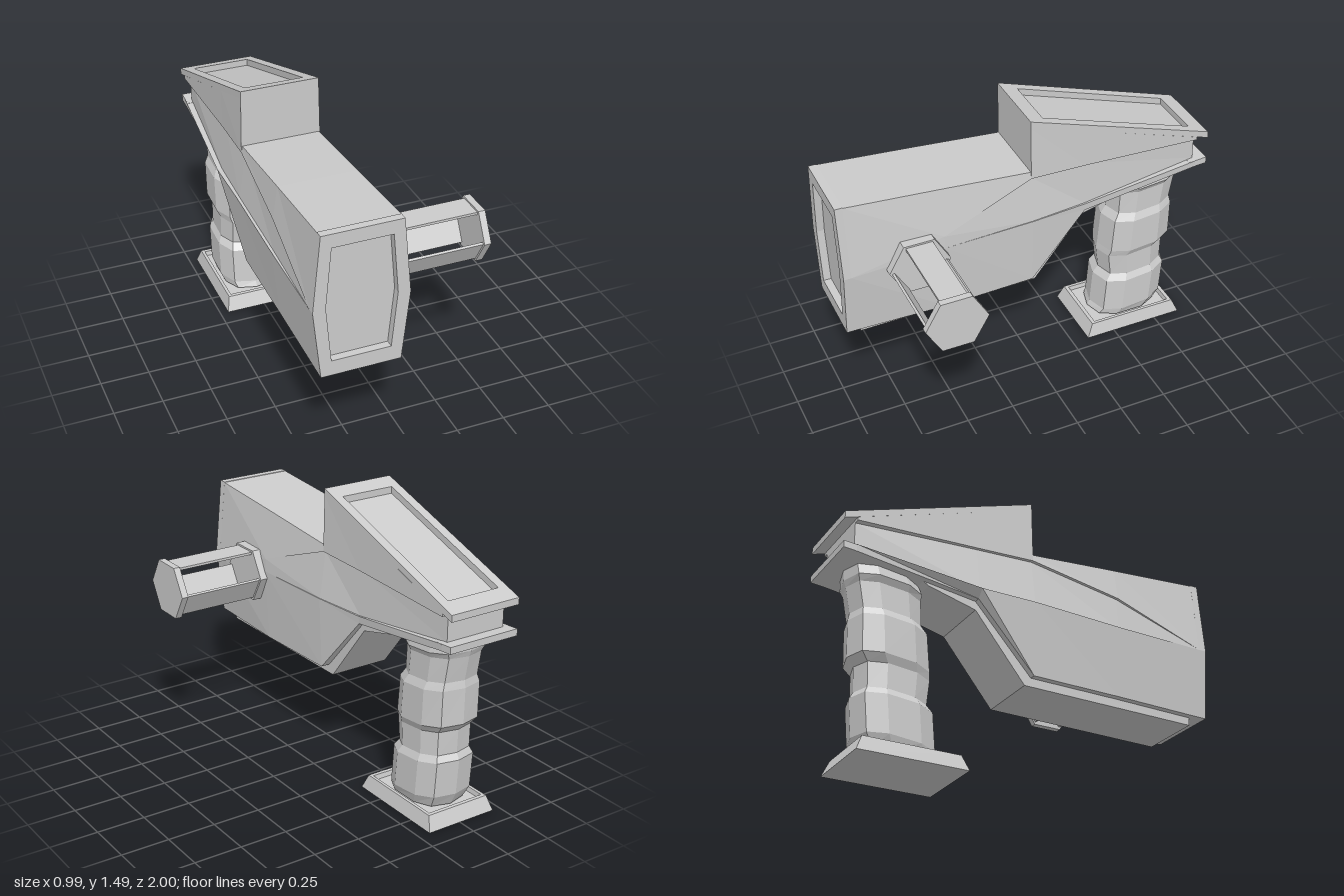
import * as THREE from 'three';

const grey = new THREE.MeshStandardMaterial({ color: 0xcccccc, flatShading: true, side: THREE.DoubleSide });

function add(parent, name, geometry) {
  const mesh = new THREE.Mesh(geometry, grey);
  mesh.name = name;
  parent.add(mesh);
  return mesh;
}

// Skin matching rings of [x, y, z] points and close both ends
function loft(rings) {
  const n = rings[0].length, last = (rings.length - 1) * n, index = [];
  for (let r = 0; r < last; r += n) {
    for (let j = 0; j < n; j++) {
      const k = (j + 1) % n;
      index.push(r + j, r + k, r + n + k, r + j, r + n + k, r + n + j);
    }
  }
  for (let j = 0; j < n / 2 - 1; j++) {
    const [a, b, c, d] = [j, j + 1, n - 2 - j, n - 1 - j];
    index.push(a, c, b, a, d, c);
    index.push(last + a, last + b, last + c, last + a, last + c, last + d);
  }
  const g = new THREE.BufferGeometry();
  g.setAttribute('position', new THREE.Float32BufferAttribute(rings.flat(2), 3));
  g.setIndex(index);
  const flat = g.toNonIndexed();
  flat.computeVertexNormals();
  return flat;
}

function extrude(points, depth, hole) {
  const toVec = (p) => new THREE.Vector2(p[0], p[1]);
  const shape = new THREE.Shape(points.map(toVec));
  if (hole) shape.holes.push(new THREE.Path(hole.map(toVec)));
  return new THREE.ExtrudeGeometry(shape, { depth, bevelEnabled: false });
}

const rect = (w, y0, y1) => [[-w, y0], [w, y0], [w, y1], [-w, y1]];
const hexagon = (w, wMid, y0, yMid, y1) =>
  [[-w, y0], [w, y0], [wMid, yMid], [w, y1], [-w, y1], [-wMid, yMid]];

// Body section: side points run bottom, crease, recess bottom, recess top, lip, top
function bodySection(z, right, left) {
  return [
    ...right.map(([x, y]) => [x, y, z]),
    ...[...left].reverse().map(([x, y]) => [-x, y, z]),
  ];
}

function buildBody(group) {
  const tail = [[0.197, 0.965], [0.199, 1.0], [0.165, 1.0], [0.165, 1.13], [0.197, 1.13], [0.197, 1.146]];
  const rearR = [[0.197, 0.88], [0.2, 0.92], [0.19, 0.92], [0.18, 1.155], [0.197, 1.155], [0.197, 1.356]];
  const rearL = [[0.197, 0.88], [0.235, 0.92], [0.21, 0.92], [0.18, 1.155], [0.197, 1.155], [0.197, 1.356]];
  const midR = [[0.212, 0.545], [0.226, 0.92], [0.222, 0.92], [0.19, 1.165], [0.203, 1.165]];
  const midL = [[0.197, 0.545], [0.235, 0.92], [0.22, 0.92], [0.185, 1.165], [0.203, 1.165]];
  const foreR = [[0.222, 0.54], [0.243, 0.92], [0.243, 0.92], [0.241, 0.99], [0.241, 0.99], [0.197, 1.24]];
  const foreL = [[0.197, 0.54], [0.236, 0.9], [0.222, 0.9], [0.207, 1.07], [0.222, 1.07], [0.197, 1.24]];
  const m = [0.235, 0.89];
  const nose = [[0.197, 0.53], m, m, m, m, [0.197, 1.277]];
  const high = [0.197, 1.455], low = [0.197, 1.2];
  add(group, 'body', loft([
    bodySection(-0.935, tail, tail),
    bodySection(-0.3, rearR, rearL),
    bodySection(0, [...midR, high], [...midL, high]),
    bodySection(0, [...midR, low], [...midL, low]),
    bodySection(0.48, foreR, foreL),
    bodySection(0.96, nose, nose),
  ]));

  // Raised rim around the sunken front panel
  const front = extrude(hexagon(0.197, 0.235, 0.53, 0.89, 1.28), 0.04, hexagon(0.146, 0.173, 0.61, 0.9, 1.21));
  add(group, 'frontRim', front).position.z = 0.96;

  // Sloping rim of the top cover, sheared to follow the slope
  const cover = extrude(rect(0.197, 0, 1), 0.035, rect(0.147, 0.085, 0.91)).rotateX(-Math.PI / 2);
  const p = cover.attributes.position;
  for (let i = 0; i < p.count; i++) p.setY(i, p.getY(i) + 1.455 + 0.33 * p.getZ(i));
  cover.computeVertexNormals();
  add(group, 'topCoverRim', cover);

  // Lower ledge at the rear
  const ledge = (z, y) => rect(0.197, y, y + 0.035).map(([x, h]) => [x, h, z]);
  add(group, 'rearLedge', loft([ledge(-1, 0.97), ledge(-0.9, 0.962)]));

  // Belly plate, drawn as (-z, y) and turned across the body
  const belly = extrude([
    [-0.92, 0.55], [-0.92, 0.49], [0.035, 0.5], [0.3, 0.835],
    [0.55, 0.9], [0.6, 0.93], [0.3, 0.9], [0, 0.56],
  ], 0.33);
  belly.translate(0, 0, -0.165).rotateY(Math.PI / 2);
  add(group, 'bellyPlate', belly);
}

function buildGrip(group) {
  const outline = [[0, 1], [0.7, 0.85], [1, 0.4], [1, -0.4], [0.7, -0.85],
    [0, -1], [-0.7, -0.85], [-1, -0.4], [-1, 0.4], [-0.7, 0.85]];
  // Each ring: height, centre z, half depth, half width
  const rings = [
    [0.06, -0.62, 0.19, 0.14], [0.11, -0.645, 0.2, 0.158], [0.3, -0.66, 0.2, 0.158],
    [0.335, -0.665, 0.175, 0.14], [0.46, -0.66, 0.185, 0.14], [0.5, -0.68, 0.2, 0.158],
    [0.69, -0.69, 0.193, 0.158], [0.73, -0.7, 0.175, 0.14], [0.86, -0.715, 0.185, 0.14],
    [0.89, -0.72, 0.192, 0.158], [0.95, -0.735, 0.18, 0.145],
  ];
  add(group, 'grip', loft(rings.map(([y, zc, d, w], i) =>
    outline.map(([x, z]) => [x * w, y - (i ? 0.1 * z * d : 0), zc + z * d]))));

  // Foot with a shallow tray in its top
  const tray = [[0, 0.197, 0.278], [0.075, 0.178, 0.245], [0.075, 0.162, 0.225], [0.05, 0.158, 0.22]];
  add(group, 'gripFoot', loft(tray.map(([y, w, d]) =>
    [[-w, d], [w, d], [w, -d], [-w, -d]].map(([x, z]) => [x, y, z - 0.62]))));
}

function buildSideHandle(group) {
  const handle = new THREE.Group();
  handle.name = 'sideHandle';
  handle.position.set(0.26, 0.884, 0.625);
  group.add(handle);
  // Hexagonal end plates with a corner facing forward
  for (const [name, x0, x1] of [['handleInnerPlate', -0.03, 0.02], ['handleOuterPlate', 0.455, 0.49]]) {
    const plate = new THREE.CylinderGeometry(0.159, 0.159, x1 - x0, 6).rotateZ(Math.PI / 2);
    add(handle, name, plate).position.x = (x0 + x1) / 2;
  }
  // Three bars on alternate faces of the hexagon
  for (let i = 0; i < 3; i++) {
    const bar = new THREE.BoxGeometry(0.45, 0.013, 0.138).translate(0.235, 0.122, 0);
    add(handle, 'handleBar', bar.rotateX(i * Math.PI * 2 / 3));
  }
}

export function createModel() {
  const model = new THREE.Group();
  model.name = 'model';
  const main = new THREE.Group();
  main.name = 'device';
  main.position.x = -0.26;
  model.add(main);
  buildBody(main);
  buildGrip(main);
  buildSideHandle(main);
  return model;
}
